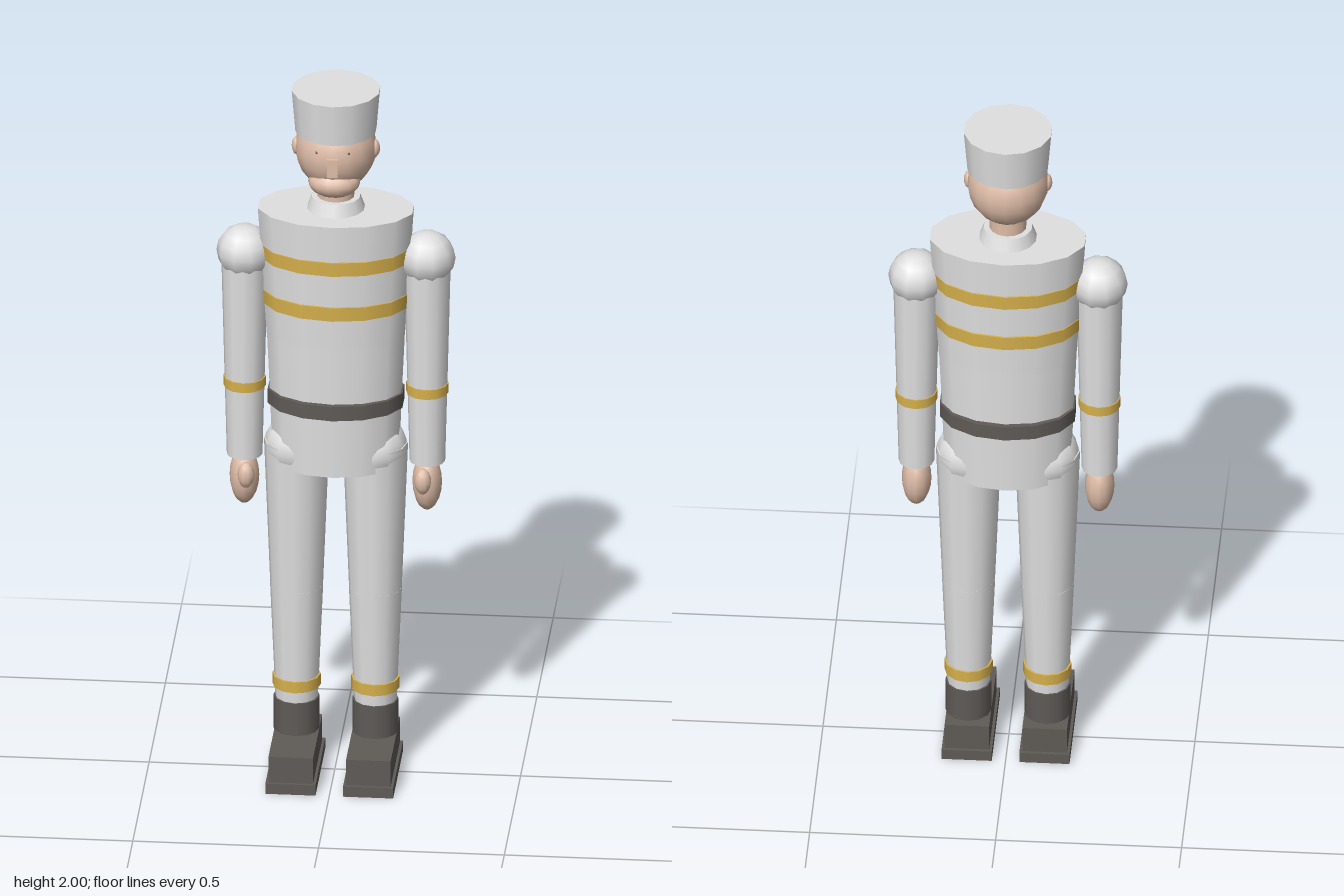
import * as THREE from 'three';

const mat = (name, color) => {
  const m = new THREE.MeshStandardMaterial({ color });
  m.name = name;
  return m;
};

export function createModel() {
  const white = mat('white cloth', 0xe0e0e0);
  const gold = mat('gold trim', 0xd6b04c);
  const dark = mat('dark leather', 0x5f5b57);
  const skin = mat('skin', 0xdfbda8);

  const Z = -0.036; // depth of the body axis
  const model = new THREE.Group();
  model.name = 'soldier';

  const add = (parent, name, geo, material, x, y, z) => {
    const m = new THREE.Mesh(geo, material);
    m.name = name;
    m.position.set(x, y, z);
    parent.add(m);
    return m;
  };
  // Tapered drum between two heights; depth squashes it front to back
  const drum = (parent, name, material, x, y0, y1, r0, r1, sides = 14, depth = 1) => {
    const geo = new THREE.CylinderGeometry(r1, r0, y1 - y0, sides);
    geo.scale(1, 1, depth);
    return add(parent, name, geo, material, x, (y0 + y1) / 2, Z);
  };
  const ball = (parent, name, material, x, y, z, rx, ry, rz, w = 14, h = 10) => {
    const geo = new THREE.SphereGeometry(1, w, h);
    geo.scale(rx, ry, rz);
    return add(parent, name, geo, material, x, y, z);
  };
  const box = (parent, name, material, w, h, d, x, y, z) =>
    add(parent, name, new THREE.BoxGeometry(w, h, d), material, x, y, z);

  // Torso
  const torso = new THREE.Group();
  torso.name = 'torso';
  model.add(torso);
  drum(torso, 'chest', white, 0, 1.28, 1.65, 0.189, 0.213, 14, 0.643);
  drum(torso, 'abdomen', white, 0, 1.08, 1.32, 0.179, 0.19, 14, 0.645);
  drum(torso, 'jacketSkirt', white, 0, 0.9, 1.1, 0.172, 0.18, 14, 0.675);
  drum(torso, 'upperBand', gold, 0, 1.505, 1.545, 0.204, 0.206, 14, 0.668);
  drum(torso, 'lowerBand', gold, 0, 1.37, 1.41, 0.197, 0.199, 14, 0.668);
  drum(torso, 'belt', dark, 0, 1.075, 1.117, 0.186, 0.186, 14, 0.71);
  drum(torso, 'collar', white, 0, 1.645, 1.685, 0.08, 0.066);

  // Head and hat
  const head = new THREE.Group();
  head.name = 'head';
  model.add(head);
  drum(head, 'neck', skin, 0, 1.65, 1.76, 0.05, 0.05);
  ball(head, 'skull', skin, 0, 1.83, Z, 0.11, 0.118, 0.115, 16, 12);
  ball(head, 'jaw', skin, 0, 1.752, 0.022, 0.07, 0.042, 0.055);
  box(head, 'nose', skin, 0.028, 0.052, 0.03, 0, 1.817, 0.07);
  drum(head, 'hat', white, 0, 1.88, 2, 0.11, 0.12);

  for (const s of [1, -1]) {
    ball(head, 'ear', skin, s * 0.105, 1.83, Z + 0.004, 0.014, 0.026, 0.018, 10, 8);
    ball(head, 'eye', dark, s * 0.042, 1.855, 0.064, 0.005, 0.004, 0.004, 8, 6);

    // Arm
    const arm = new THREE.Group();
    arm.name = s > 0 ? 'leftArm' : 'rightArm';
    model.add(arm);
    const ax = s * 0.246;
    ball(arm, 'shoulder', white, ax, 1.511, Z, 0.076, 0.074, 0.077, 10, 8);
    drum(arm, 'upperSleeve', white, ax, 1.18, 1.5, 0.055, 0.063, 12);
    drum(arm, 'lowerSleeve', white, ax, 0.91, 1.2, 0.048, 0.0555, 12);
    drum(arm, 'cuffBand', gold, ax, 1.113, 1.141, 0.057, 0.057, 12);
    ball(arm, 'hand', skin, ax, 0.85, Z + 0.005, 0.04, 0.082, 0.052, 12, 10);
    ball(arm, 'thumb', skin, s * 0.238, 0.868, 0.013, 0.023, 0.037, 0.023, 10, 8);

    // Leg
    const leg = new THREE.Group();
    leg.name = s > 0 ? 'leftLeg' : 'rightLeg';
    model.add(leg);
    const lx = s * 0.106;
    ball(leg, 'hip', white, lx, 0.945, Z, 0.087, 0.087, 0.091, 12, 10);
    drum(leg, 'thigh', white, lx, 0.5, 0.96, 0.07, 0.088, 12);
    drum(leg, 'shin', white, lx, 0.19, 0.53, 0.057, 0.0715, 12);
    drum(leg, 'ankleBand', gold, lx, 0.233, 0.265, 0.065, 0.065, 12);
    drum(leg, 'bootShaft', dark, lx, 0.1, 0.2, 0.062, 0.062, 12);
    box(leg, 'shoe', dark, 0.12, 0.075, 0.283, s * 0.1045, 0.0675, 0.021);
    box(leg, 'sole', dark, 0.135, 0.03, 0.302, s * 0.1045, 0.015, 0.021);
  }
  return model;
}
